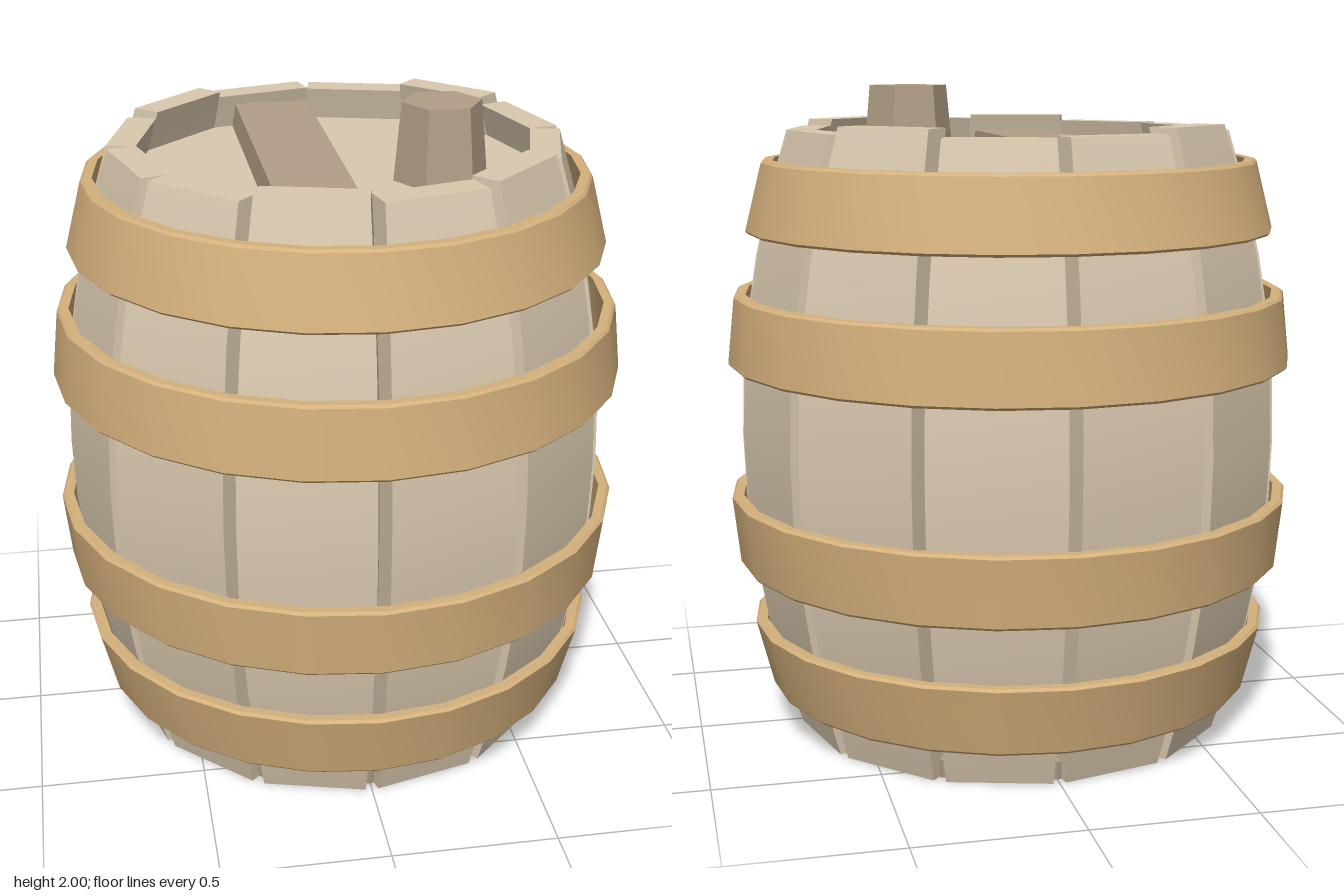
import * as THREE from 'three';
import { toCreasedNormals } from 'three/addons/utils/BufferGeometryUtils.js';

const STAVES = 12, RINGS = 10, HEIGHT = 1.875, THICK = 0.09, GROOVE = 0.02;

const mat = (name, color) => {
  const m = new THREE.MeshStandardMaterial({ color });
  m.name = name;
  return m;
};

// Bulging barrel profile: outer corner radius at height y
const radiusAt = (y) => 0.845 - 0.16 * ((y - 0.94) / 0.94) ** 2;

// One curved plank, flat across, with sides that open into a V groove
function staveGeometry(angle, top) {
  const pos = [], idx = [];
  const c = Math.cos(angle), s = Math.sin(angle);
  const half = Math.PI / STAVES;
  for (let j = 0; j <= RINGS; j++) {
    const y = (top * j) / RINGS;
    const outer = radiusAt(y) * Math.cos(half);
    const inner = outer - THICK;
    const wOut = outer * Math.tan(half) - GROOVE;
    const wIn = inner * Math.tan(half);
    for (const [r, w] of [[inner, -wIn], [outer, -wOut], [outer, wOut], [inner, wIn]]) {
      pos.push(r * c - w * s, y, r * s + w * c);
    }
  }
  for (let j = 0; j < RINGS; j++) {
    for (let k = 0; k < 4; k++) {
      const a = j * 4 + k, b = j * 4 + ((k + 1) % 4);
      idx.push(a, a + 4, b, b, a + 4, b + 4);
    }
  }
  const t = RINGS * 4;
  idx.push(0, 1, 2, 0, 2, 3, t, t + 2, t + 1, t, t + 3, t + 2);
  const g = new THREE.BufferGeometry();
  g.setAttribute('position', new THREE.Float32BufferAttribute(pos, 3));
  g.setIndex(idx);
  return toCreasedNormals(g, 0.4);
}

// Sloped band with small chamfers on its outer edges
function hoopGeometry(y0, y1, r0, r1) {
  const t = 0.036, b = 0.008;
  const profile = [
    [r0 - t, y0], [r0 - b, y0], [r0, y0 + b],
    [r1, y1 - b], [r1 - b, y1], [r1 - t, y1], [r0 - t, y0],
  ].map(([x, y]) => new THREE.Vector2(x, y));
  return toCreasedNormals(new THREE.LatheGeometry(profile, 24), 0.5);
}

export function createModel() {
  const group = new THREE.Group();
  group.name = 'barrel';
  const paleWood = mat('paleWood', 0xdac9af);
  const brownWood = mat('brownWood', 0xb29f87);
  const hoopTan = mat('hoopTan', 0xd5b17d);

  const add = (name, geometry, material, x = 0, y = 0, z = 0) => {
    const mesh = new THREE.Mesh(geometry, material);
    mesh.name = name;
    mesh.position.set(x, y, z);
    group.add(mesh);
    return mesh;
  };

  // Staves with slightly uneven tops
  const tops = [1.87, 1.89, 1.88, 1.89, 1.872, 1.87, 1.87, 1.89, 1.872, 1.868, 1.893, 1.87];
  tops.forEach((top, i) => {
    add('stave', staveGeometry(((i + 0.5) * 2 * Math.PI) / STAVES, top), paleWood);
  });

  // Recessed lid and flush bottom
  const lidY = 1.765;
  add('lid', toCreasedNormals(new THREE.CylinderGeometry(0.635, 0.635, 0.06, STAVES), 0.3),
    paleWood, 0, lidY - 0.03, 0);
  add('bottom', toCreasedNormals(new THREE.CylinderGeometry(0.66, 0.65, 0.06, STAVES), 0.3),
    brownWood, 0, 0.029, 0);

  // Hoops, mirrored about mid height
  for (const [y0, y1, r0, r1] of [[1.56, 1.78, 0.817, 0.765], [1.155, 1.375, 0.88, 0.858]]) {
    add('hoop', hoopGeometry(y0, y1, r0, r1), hoopTan);
    const m = 2 * 0.952;
    add('hoop', hoopGeometry(m - y1, m - y0, r1, r0), hoopTan);
  }

  // Cross plank on the lid, slightly wider at its base
  const plank = new THREE.BoxGeometry(0.235, 0.075, 1.1);
  const p = plank.attributes.position;
  for (let i = 0; i < p.count; i++) {
    if (p.getY(i) < 0) p.setX(i, p.getX(i) + Math.sign(p.getX(i)) * 0.01);
  }
  plank.computeVertexNormals();
  add('lidPlank', plank, brownWood, -0.125, lidY + 0.0375, -0.005);

  // Six-sided tapered stopper
  const peg = new THREE.CylinderGeometry(0.12, 0.142, 2 - lidY, 6).rotateY(Math.PI / 6);
  add('stopper', toCreasedNormals(peg, 0.3), brownWood, 0.293, (2 + lidY) / 2, 0.122);

  return group;
}
